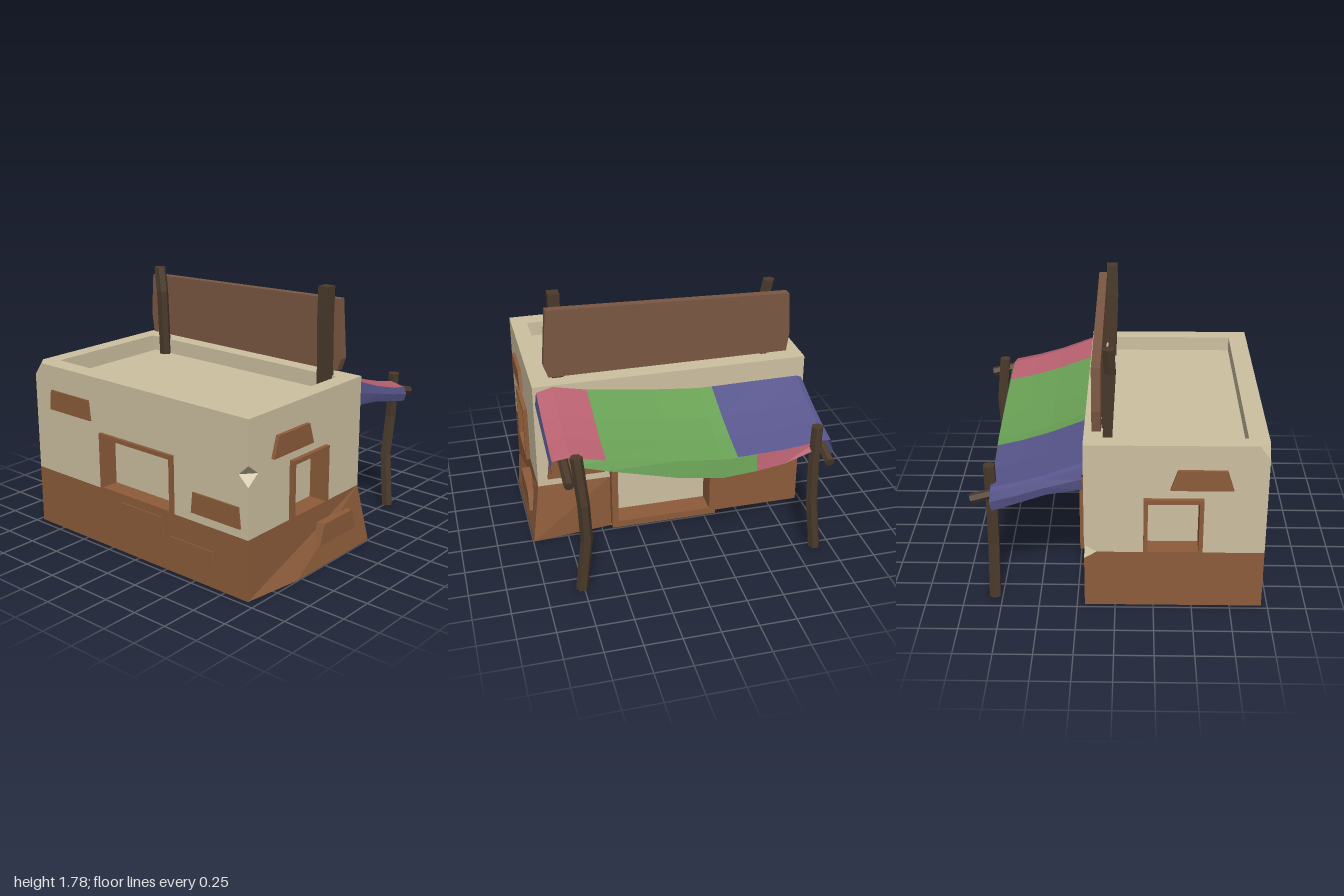
import * as THREE from 'three';

const mat = (name, color) => {
  const m = new THREE.MeshStandardMaterial({ color, side: THREE.DoubleSide });
  m.name = name;
  return m;
};

export function createModel() {
  const root = new THREE.Group();
  root.name = 'marketHouse';
  const sand = mat('sandPlaster', 0xcdc0a0), clay = mat('clayBrown', 0x8d5c3a);
  const signBrown = mat('signBrown', 0x7a5742), timber = mat('darkTimber', 0x4a3a2b);
  const blue = mat('blueCloth', 0x58568c), green = mat('greenCloth', 0x69a055), pink = mat('pinkCloth', 0xb8606f);

  // faceted mesh helper
  const add = (name, geo, material, parent = root) => {
    const g = geo.index ? geo.toNonIndexed() : geo;
    g.computeVertexNormals();
    const m = new THREE.Mesh(g, material);
    m.name = name;
    parent.add(m);
    return m;
  };
  const shapeOf = pts => new THREE.Shape(pts.map(p => new THREE.Vector2(p[0], p[1])));
  const rect = (a, b, c, d) => [[a, c], [b, c], [b, d], [a, d]];
  const holed = (pts, holes) => {
    const s = shapeOf(pts);
    holes.forEach(h => s.holes.push(shapeOf(h)));
    return s;
  };
  const extrude = (shape, from, to) =>
    new THREE.ExtrudeGeometry(shape, { depth: to - from, bevelEnabled: false }).translate(0, 0, from);

  // the foot of the wall leans out at the front right corner
  const clamp = v => Math.min(1, Math.max(0, v));
  const lean = geo => {
    const p = geo.attributes.position;
    for (let i = 0; i < p.count; i++) {
      const x = p.getX(i), y = p.getY(i), z = p.getZ(i);
      const t = clamp(1 - y / 0.41), f = clamp((z - 0.43) / 0.5);
      p.setX(i, x + 0.065 * t * f * clamp((x + 0.96) / 1.16));
      p.setZ(i, z + 0.06 * t * f * clamp((x + 0.96) / 0.4));
    }
    return geo;
  };

  // each side is drawn flat (u to the right, y up), then turned into place
  const sides = {
    front: { turn: 0, at: [0, 0, 0.935] },
    right: { turn: Math.PI / 2, at: [0.2, 0, 0] },
    back: { turn: Math.PI, at: [0, 0, -0.97] },
    left: { turn: -Math.PI / 2, at: [-0.96, 0, 0] },
  };
  const place = (side, geo) => geo.rotateY(sides[side].turn).translate(...sides[side].at);
  const wall = (side, part, pts, material, holes = []) =>
    add(side + part, lean(place(side, new THREE.ShapeGeometry(holed(pts, holes)))), material);

  const windows = {
    front: [-0.56, -0.18, 0.405, 0.81, 0.03],
    back: [0.18, 0.56, 0.405, 0.81, 0.03],
    left: [-0.33, 0.33, 0.405, 0.81, 0.022],
  };
  const holeFor = side => {
    const [a, b, c, d] = windows[side];
    return [rect(a + 0.01, b - 0.01, c + 0.012, d - 0.01)];
  };

  // plaster upper walls, with chipped corners
  wall('front', 'UpperWall', [[-0.96, 0.41], [0.2, 0.41], [0.2, 1.18], [-0.96, 1.18],
    [-0.96, 0.89], [-0.87, 0.82], [-0.96, 0.75]], sand, holeFor('front'));
  wall('right', 'UpperWall', [[-0.935, 0.41], [-0.43, 0.41], [-0.43, 0.8], [0.33, 0.8], [0.33, 0.41],
    [0.89, 0.41], [0.97, 0.46], [0.97, 1.18], [-0.935, 1.18]], sand);
  wall('back', 'UpperWall', [[-0.12, 0.41], [0.96, 0.41], [0.96, 1.09], [0.89, 1.18], [-0.2, 1.18],
    [-0.2, 0.46]], sand, holeFor('back'));
  wall('left', 'UpperWall', [[-0.97, 0.41], [0.935, 0.41], [0.935, 0.75], [0.86, 0.82], [0.935, 0.89],
    [0.935, 1.18], [-0.9, 1.18], [-0.97, 1.09]], sand, holeFor('left'));

  // clay lower walls
  wall('front', 'LowerWall', [[-0.96, 0], [-0.56, 0], [0.2, 0], [0.2, 0.41], [-0.96, 0.41]], clay);
  wall('right', 'LowerWallNearFront', rect(-0.935, -0.43, 0, 0.41), clay);
  wall('right', 'LowerWallNearBack', [[0.33, 0], [0.97, 0], [0.97, 0.36], [0.89, 0.41], [0.33, 0.41]], clay);
  wall('back', 'LowerWall', [[-0.2, 0], [0.96, 0], [0.96, 0.41], [-0.12, 0.41], [-0.2, 0.36]], clay);
  wall('left', 'LowerWall', rect(-0.97, 0.935, 0, 0.41), clay);

  // faces inside the chipped corners
  const chip = (...tris) => {
    const g = new THREE.BufferGeometry();
    g.setAttribute('position', new THREE.Float32BufferAttribute(tris.flat(2), 3));
    add('cornerChip', g, sand);
  };
  const fa = [-0.87, 0.82, 0.935], fb = [-0.96, 0.82, 0.86];
  chip([[-0.96, 0.89, 0.935], fb, fa], [[-0.96, 0.75, 0.935], fa, fb]);
  const ba = [0.12, 0.41, -0.97], bb = [0.2, 0.41, -0.89];
  chip([[0.2, 0.46, -0.97], bb, ba], [[0.2, 0.36, -0.97], ba, bb]);
  chip([[-0.96, 1.09, -0.97], [-0.96, 1.18, -0.9], [-0.89, 1.18, -0.97]]);

  // underside, parapet and sunken roof
  const floor = new THREE.ShapeGeometry(shapeOf([[-0.96, -0.97], [0.2, -0.97], [0.2, 0.43], [0.2, 0.935],
    [-0.56, 0.935], [-0.96, 0.935]])).rotateX(Math.PI / 2);
  add('underside', lean(floor), sand);
  const rim = holed([[-0.96, -0.935], [0.2, -0.935], [0.2, 0.97], [-0.89, 0.97], [-0.96, 0.9]],
    [rect(-0.83, 0.08, -0.82, 0.86)]);
  add('parapet', extrude(rim, 0, 0.11).rotateX(-Math.PI / 2).translate(0, 1.07, 0), sand);
  add('roofFloor', new THREE.PlaneGeometry(0.93, 1.7).rotateX(-Math.PI / 2).translate(-0.375, 1.075, 0.02), sand);

  // framed openings with set-back panes
  const opening = (side, name, [a, b, c, d, out], inner) => {
    add(name + 'Frame', place(side, extrude(holed(rect(a, b, c, d), [inner]), -0.11, out)), clay);
    add(name + 'Pane', place(side, new THREE.ShapeGeometry(shapeOf(rect(a, b, c, d))).translate(0, 0, -0.1)), sand);
  };
  for (const side in windows) {
    const [a, b, c, d] = windows[side];
    opening(side, side + 'Window', windows[side], rect(a + 0.027, b - 0.027, c + 0.027, d - 0.03));
  }
  opening('right', 'door', [-0.43, 0.33, 0.015, 0.81, 0.06], rect(-0.385, 0.285, 0.065, 0.765));

  // trapezoid patches of clay brick
  const patch = (side, u, y, out, inset = 0.045) => add(side + 'Patch', place(side, extrude(shapeOf(
    [[u - 0.2, y - 0.07], [u + 0.2, y - 0.07], [u + 0.2 - inset, y + 0.07], [u - 0.2 + inset, y + 0.07]]),
  -0.02, out)), clay);
  patch('front', -0.545, 0.943, 0.025);
  patch('front', -0.1, 0.223, 0.06);
  patch('right', -0.667, 0.54, 0.022, 0.015);
  patch('back', 0.545, 0.943, 0.018);
  patch('left', -0.62, 0.94, 0.012, 0.015);
  patch('left', 0.68, 0.54, 0.012, 0.015);
  patch('left', 0.03, 0.29, 0.008, 0.015);
  patch('left', 0.47, 0.18, 0.008, 0.015);

  // crooked timbers: a prism whose rows follow the given points
  const post = (name, pts, r, n) => {
    const g = new THREE.CylinderGeometry(r, r, 1, n, pts.length - 1);
    if (n === 4) g.rotateY(Math.PI / 4);
    const p = g.attributes.position;
    for (let i = 0; i < p.count; i++) {
      const c = pts[Math.round((p.getY(i) + 0.5) * (pts.length - 1))];
      p.setXYZ(i, p.getX(i) + c[0], c[1], p.getZ(i) + c[2]);
    }
    add(name, g, timber);
  };
  post('frontAwningPost', [[0.865, 0.01, 0.765], [0.88, 0.4, 0.725], [0.9, 0.69, 0.74], [0.87, 1.02, 0.77]], 0.041, 6);
  post('backAwningPost', [[0.8, 0.01, -0.885], [0.795, 0.4, -0.845], [0.795, 0.7, -0.84], [0.8, 0.97, -0.845]], 0.041, 6);
  post('frontSignPost', [[0.06, 1.07, 0.745], [0.045, 1.55, 0.745], [0.05, 1.78, 0.745]], 0.055, 4);
  post('backSignPost', [[0.06, 1.07, -0.71], [0.035, 1.55, -0.705], [0.045, 1.72, -0.735]], 0.042, 6);
  const bar = (name, x0, y0, x1, y1, z) => {
    const len = Math.hypot(x1 - x0, y1 - y0);
    add(name, new THREE.CylinderGeometry(0.033, 0.033, len, 6).rotateZ(Math.atan2(y1 - y0, x1 - x0) - Math.PI / 2)
      .translate((x0 + x1) / 2, (y0 + y1) / 2, z), timber);
  };
  bar('frontAwningBar', 0.2, 1.08, 0.97, 0.88, 0.835);
  bar('backAwningBar', 0.2, 0.96, 0.92, 0.755, -0.9);

  // sign board
  const board = shapeOf([[-0.815, 1.215], [0.85, 1.215], [0.87, 1.36], [0.85, 1.645], [-0.815, 1.695], [-0.845, 1.3]]);
  add('signBoard', extrude(board, 0.09, 0.148).rotateY(Math.PI / 2), signBrown);

  // cloth: a sheet lofted through cross-sections
  const loft = (name, rows, material) => {
    const n = rows[0].length, index = [], g = new THREE.BufferGeometry();
    g.setAttribute('position', new THREE.Float32BufferAttribute(rows.flat(2), 3));
    for (let i = 0; i < rows.length - 1; i++) for (let j = 0; j < n - 1; j++) {
      const a = i * n + j, b = a + n;
      index.push(a, a + 1, b, b, a + 1, b + 1);
    }
    g.setIndex(index);
    add(name, g, material);
  };
  // z, height at wall, height at outer edge, x of outer edge
  const cloth = [[0.91, 1.14, 0.96, 0.79], [0.8, 1.17, 0.98, 0.8], [0.57, 1.12, 0.93, 0.81], [0.1, 1.06, 0.86, 0.82],
    [-0.2, 1.03, 0.825, 0.82], [-0.3, 1.03, 0.825, 0.815], [-0.62, 1.033, 0.825, 0.8], [-0.92, 1.035, 0.85, 0.79],
    [-0.955, 1.02, 0.84, 0.785]];
  const section = ([z, yIn, yOut, xOut]) => [0, 0.4, 0.7, 1].map(f =>
    [0.2 + (xOut - 0.2) * f, yIn + (yOut - yIn) * f - 0.07 * f * (1 - f), z]);
  const sections = cloth.map(section);
  loft('awningPinkCloth', sections.slice(0, 3), pink);
  loft('awningGreenCloth', sections.slice(2, 6), green);
  loft('awningBlueCloth', sections.slice(5), blue);

  // hanging edges: z, top, bottom, x
  const hem = [[0.8, 0.98, 0.93, 0.8], [0.57, 0.93, 0.865, 0.81], [0.1, 0.86, 0.745, 0.82], [-0.2, 0.825, 0.7, 0.82],
    [-0.43, 0.825, 0.71, 0.81], [-0.62, 0.825, 0.73, 0.8], [-0.85, 0.845, 0.8, 0.79]]
    .map(([z, top, low, x]) => [[x, top, z], [x + 0.022, low, z]]);
  loft('outerHemGreen', hem.slice(0, 5), green);
  loft('outerHemPink', hem.slice(4), pink);
  const sideHem = (name, edge, drops, dz) =>
    loft(name, edge.map(([x, y, z], i) => [[x, y, z], [x + 0.01, y - drops[i] / 2, z + dz], [x, y - drops[i], z]]), blue);
  sideHem('frontHem', sections[0], [0.17, 0.11, 0.1, 0.1], 0.012);
  sideHem('backHem', sections[8], [0.16, 0.11, 0.12, 0.14], -0.015);

  return root;
}
